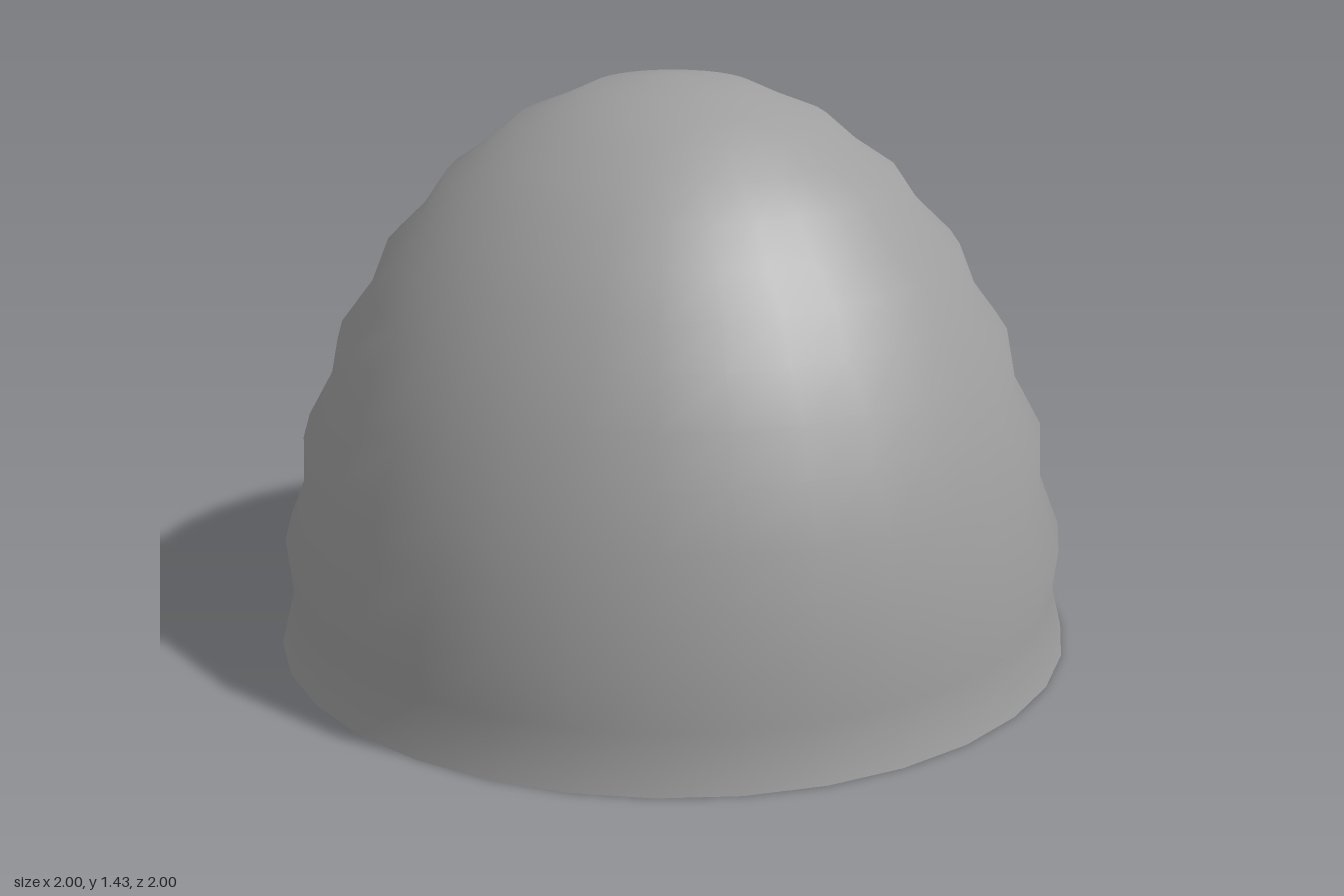
import * as THREE from 'three';

const SEGMENTS = 32;
const TIERS = 8;
const HEIGHT = 1.43;
const PINCH = 0.975;

// Dome profile from rim to just below the apex: tiers with a narrowed ring between each
function domeProfile() {
  const tier = (k) => {
    const a = (k / TIERS) * Math.PI / 2;
    return new THREE.Vector2(Math.cos(a), HEIGHT * Math.sin(a));
  };
  const profile = [];
  for (let k = 0; k < TIERS - 1; k++) {
    const groove = tier(k).lerp(tier(k + 1), 0.5);
    groove.x *= PINCH;
    profile.push(tier(k), groove);
  }
  profile.push(tier(TIERS - 1));
  return profile;
}

function hiveGeometry() {
  const positions = [], indices = [];
  const quad = (a, b, c, d) => indices.push(a, b, c, a, c, d);
  const addVertex = (p) => positions.push(...p) / 3 - 1;
  const profile = domeProfile();
  const at = (ring, j) => ring * SEGMENTS + (j % SEGMENTS);

  // Rings of the wall
  for (const p of profile) {
    for (let j = 0; j < SEGMENTS; j++) {
      const t = (j / SEGMENTS) * Math.PI * 2;
      addVertex([p.x * Math.cos(t), p.y, -p.x * Math.sin(t)]);
    }
  }
  for (let i = 0; i < profile.length - 1; i++) {
    for (let j = 0; j < SEGMENTS; j++) {
      if (j === 0 && i < 2) continue; // left open for the entrance
      quad(at(i, j), at(i, j + 1), at(i + 1, j + 1), at(i + 1, j));
    }
  }

  // Rounded cap closing at the apex
  const apex = addVertex([0, HEIGHT, 0]);
  const last = profile.length - 1;
  for (let j = 0; j < SEGMENTS; j++) indices.push(at(last, j), at(last, j + 1), apex);

  // Entrance: a small recess pushed into the wall at the rim
  const outer = [at(0, 1), at(1, 1), at(2, 1), at(2, 0), at(1, 0), at(0, 0)];
  const inner = [
    [0.87, 0.065, -0.135], [0.87, 0.14, -0.14], [0.87, 0.21, -0.14],
    [0.88, 0.21, -0.04], [0.88, 0.14, -0.04], [0.88, 0.065, -0.04],
  ].map(addVertex);
  for (let k = 0; k < 5; k++) quad(outer[k], outer[k + 1], inner[k + 1], inner[k]);
  quad(inner[5], inner[0], inner[1], inner[4]);
  quad(inner[4], inner[1], inner[2], inner[3]);

  // Entrance sill, with its own corners so that its edges stay sharp
  const sill = [outer[5], outer[0], inner[0], inner[5]]
    .map((v) => addVertex(positions.slice(v * 3, v * 3 + 3)));
  quad(...sill);

  const geometry = new THREE.BufferGeometry();
  geometry.setAttribute('position', new THREE.Float32BufferAttribute(positions, 3));
  geometry.setIndex(indices);
  geometry.computeVertexNormals();
  return geometry;
}

export function createModel() {
  const group = new THREE.Group();
  group.name = 'beehive';

  // Open-bottomed shell, visible from inside too
  const material = new THREE.MeshStandardMaterial({ color: 0x9e9e9e, side: THREE.DoubleSide });
  const shell = new THREE.Mesh(hiveGeometry(), material);
  shell.name = 'hiveShellWithEntrance';
  group.add(shell);
  return group;
}
